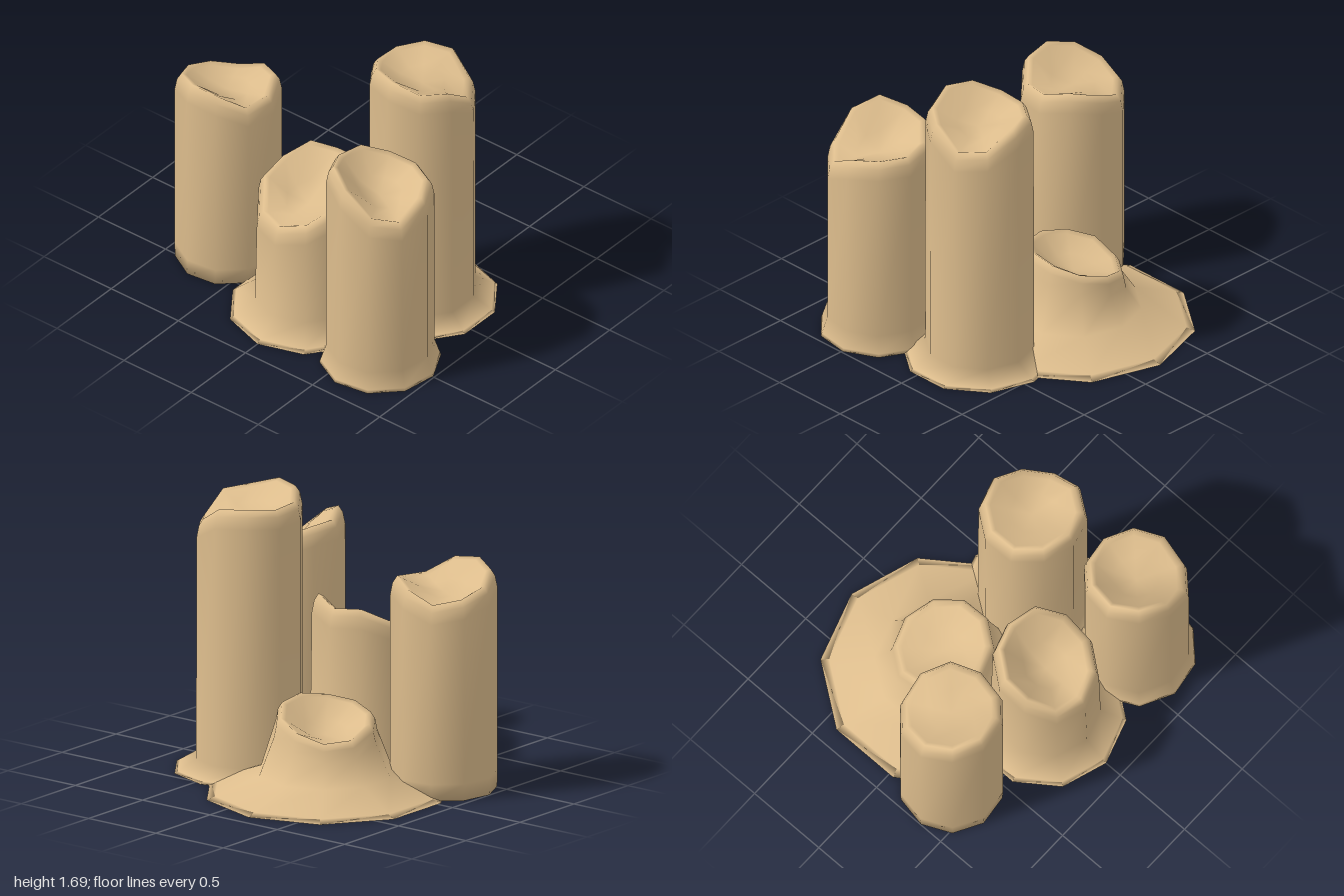
import * as THREE from 'three';

const SIDES = 10;

// Rim heights run around the candle in 36 degree steps from the phase angle (+x towards +z).
const CANDLES = [
  { name: 'leftPlainCandle', x: -0.69, z: 0.305, phase: -7, foot: 0.31, footY: 0.1, waist: 0.312, r: 0.312, pool: 1.18,
    rim: [1.24, 1.23, 1.32, 1.34, 1.31, 1.25, 1.2, 1.17, 1.24, 1.28] },
  { name: 'meltedStump', x: -0.21, z: -0.19, phase: 18, foot: 0.715, footY: 0.12, waist: 0.4, r: 0.31, pool: 0.34,
    rim: [0.53, 0.51, 0.49, 0.46, 0.43, 0.37, 0.36, 0.41, 0.46, 0.51] },
  { name: 'tallCandle', x: 0.445, z: -0.08, phase: 18, foot: 0.45, footY: 0.08, waist: 0.32, r: 0.318, pool: 1.53,
    rim: [1.62, 1.64, 1.69, 1.68, 1.63, 1.62, 1.63, 1.62, 1.52, 1.5] },
  { name: 'shortCandle', x: 0, z: 0.42, phase: 18, foot: 0.47, footY: 0.12, waist: 0.32, r: 0.31, pool: 0.74,
    rim: [0.86, 0.78, 0.73, 0.74, 0.88, 0.92, 1.0, 0.99, 1.04, 0.95] },
  { name: 'mediumCandle', x: 0.64, z: 0.55, phase: -9, foot: 0.355, footY: 0.12, waist: 0.315, r: 0.315, pool: 1.17,
    rim: [1.25, 1.16, 1.2, 1.34, 1.4, 1.36, 1.35, 1.29, 1.27, 1.27] },
];

// One closed skin: base, flared foot, wall, rounded lip and sunken top.
function candleGeometry(c) {
  const flared = c.foot > c.r + 0.02;
  const lip = (c.foot - c.waist) * 0.16;
  // each ring: radius and height as a function of the rim height
  const rings = [
    [c.foot, () => 0],
    ...(flared ? [[c.foot - lip, () => c.footY * 0.16]] : []),
    [c.waist, () => c.footY],
    [c.r, h => h - 0.11],
    [c.r - 0.014, h => h - 0.04],
    [c.r - 0.04, h => h],
    [c.r - 0.07, h => h - 0.015],
    [c.r * 0.42, h => c.pool + (h - c.pool) * 0.3],
  ];
  const pos = [0, 0, 0];
  const index = [];
  for (const [r, y] of rings) {
    for (let j = 0; j < SIDES; j++) {
      const a = THREE.MathUtils.degToRad(c.phase + j * 360 / SIDES);
      pos.push(r * Math.cos(a), y(c.rim[j]), r * Math.sin(a));
    }
  }
  pos.push(0, c.pool, 0);
  const id = (i, j) => 1 + i * SIDES + (j % SIDES);
  const last = rings.length - 1;
  const top = 1 + rings.length * SIDES;
  for (let j = 0; j < SIDES; j++) {
    index.push(0, id(0, j), id(0, j + 1));
    for (let i = 0; i < last; i++) {
      index.push(id(i, j), id(i + 1, j), id(i, j + 1));
      index.push(id(i, j + 1), id(i + 1, j), id(i + 1, j + 1));
    }
    index.push(id(last, j), top, id(last, j + 1));
  }
  const g = new THREE.BufferGeometry();
  g.setAttribute('position', new THREE.Float32BufferAttribute(pos, 3));
  g.setIndex(index);
  g.computeVertexNormals();
  return g;
}

export function createModel() {
  const group = new THREE.Group();
  group.name = 'candleCluster';
  const wax = new THREE.MeshStandardMaterial({ color: 0xdcbc8c });
  wax.name = 'wax';
  for (const c of CANDLES) {
    const mesh = new THREE.Mesh(candleGeometry(c), wax);
    mesh.name = c.name;
    mesh.position.set(c.x, 0, c.z);
    group.add(mesh);
  }
  return group;
}
